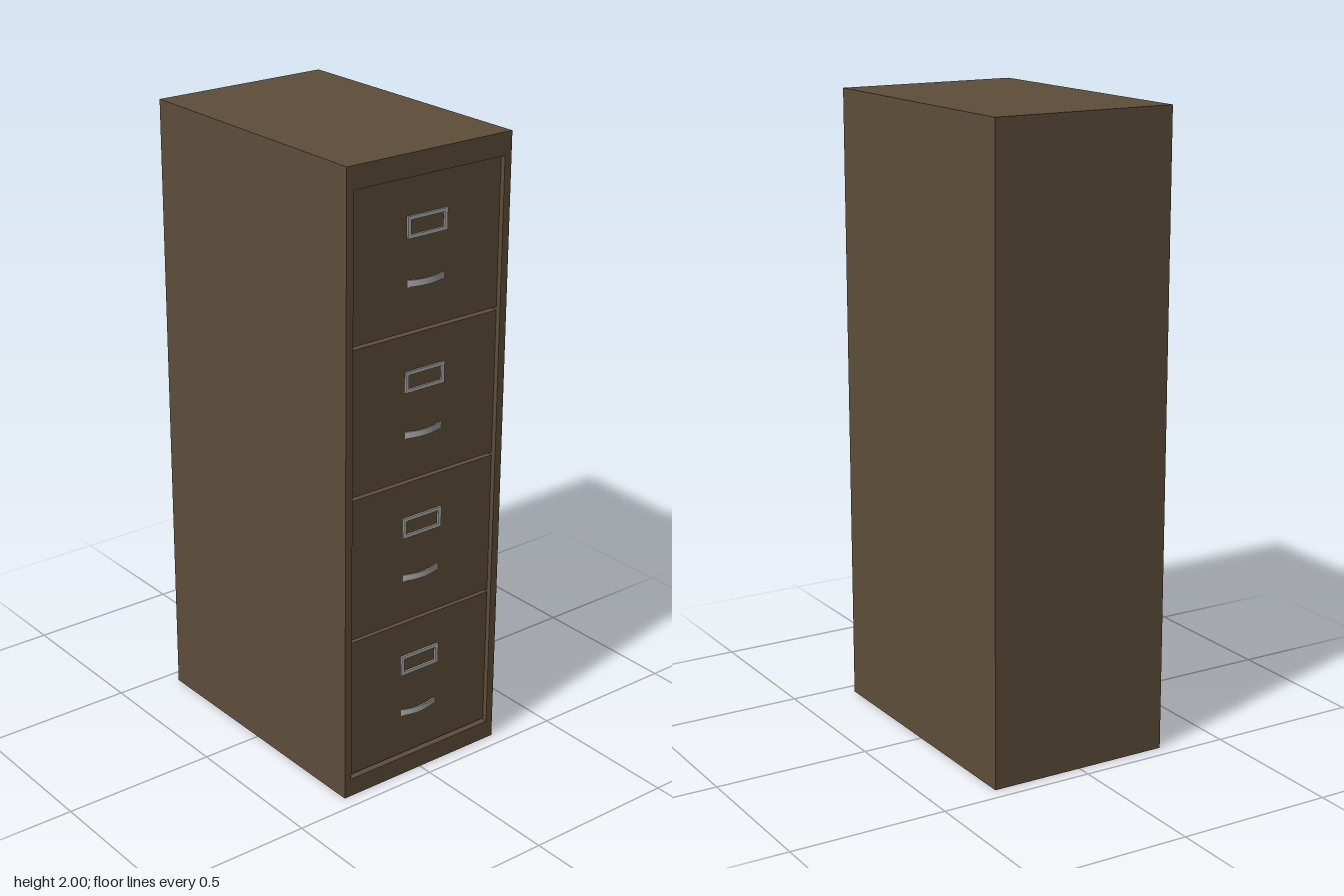
import * as THREE from 'three';

const W = 0.6, H = 2, FRONT = 0.4535;        // cabinet width, height, half depth
const OPEN_X = 0.275, OPEN_Y = 0.06, OPEN_TOP = 1.93;
const RIM = 0.05, RECESS = 0.015, GAP = 0.01;
const DRAWERS = 4;

function rect(x0, y0, x1, y1, Type = THREE.Shape) {
  return new Type([
    new THREE.Vector2(x0, y0), new THREE.Vector2(x1, y0),
    new THREE.Vector2(x1, y1), new THREE.Vector2(x0, y1),
  ]);
}

function extrude(shape, depth, curveSegments = 12) {
  return new THREE.ExtrudeGeometry(shape, { depth, bevelEnabled: false, curveSegments });
}

function add(parent, name, geometry, material, x = 0, y = 0, z = 0) {
  const mesh = new THREE.Mesh(geometry, material);
  mesh.name = name;
  mesh.position.set(x, y, z);
  parent.add(mesh);
  return mesh;
}

export function createModel() {
  const brown = new THREE.MeshStandardMaterial({ color: 0x5e4e3a });
  brown.name = 'brown painted steel';
  const silver = new THREE.MeshStandardMaterial({ color: 0xb0b0b0 });
  silver.name = 'silver metal';

  const cabinet = new THREE.Group();
  cabinet.name = 'filingCabinet';

  // Closed body behind the front rim
  const bodyDepth = 2 * FRONT - RIM;
  add(cabinet, 'body', new THREE.BoxGeometry(W, H, bodyDepth), brown, 0, H / 2, -RIM / 2);

  // Rim around the drawer opening
  const rim = rect(-W / 2, 0, W / 2, H);
  rim.holes.push(rect(-OPEN_X, OPEN_Y, OPEN_X, OPEN_TOP, THREE.Path));
  add(cabinet, 'frontRim', extrude(rim, RIM), brown, 0, 0, FRONT - RIM);

  // Shared drawer parts
  const pitch = (OPEN_TOP - OPEN_Y) / DRAWERS;
  const frontDepth = RIM - RECESS;
  const frontGeometry = new THREE.BoxGeometry(2 * OPEN_X - 0.002, pitch - GAP, frontDepth);

  const label = rect(-0.073, -0.033, 0.073, 0.033);
  label.holes.push(rect(-0.062, -0.022, 0.062, 0.022, THREE.Path));
  const labelGeometry = extrude(label, 0.006);

  // Bowed pull: a crescent strip, laid flat
  const bow = new THREE.Shape();
  bow.moveTo(-0.068, 0);
  bow.quadraticCurveTo(0, -0.029, 0.068, 0);
  bow.lineTo(0.058, 0);
  bow.quadraticCurveTo(0, -0.018, -0.058, 0);
  bow.closePath();
  const pullGeometry = extrude(bow, 0.02).rotateX(-Math.PI / 2);

  for (let i = 0; i < DRAWERS; i++) {
    const drawer = new THREE.Group();
    drawer.name = `drawer${i + 1}`;
    drawer.position.set(0, OPEN_Y + i * pitch, FRONT - RECESS);
    add(drawer, 'drawerFront', frontGeometry, brown, 0, pitch / 2, -frontDepth / 2);
    add(drawer, 'labelHolder', labelGeometry, silver, 0, 0.318, 0);
    add(drawer, 'pullHandle', pullGeometry, silver, 0, 0.14, 0);
    cabinet.add(drawer);
  }
  return cabinet;
}
